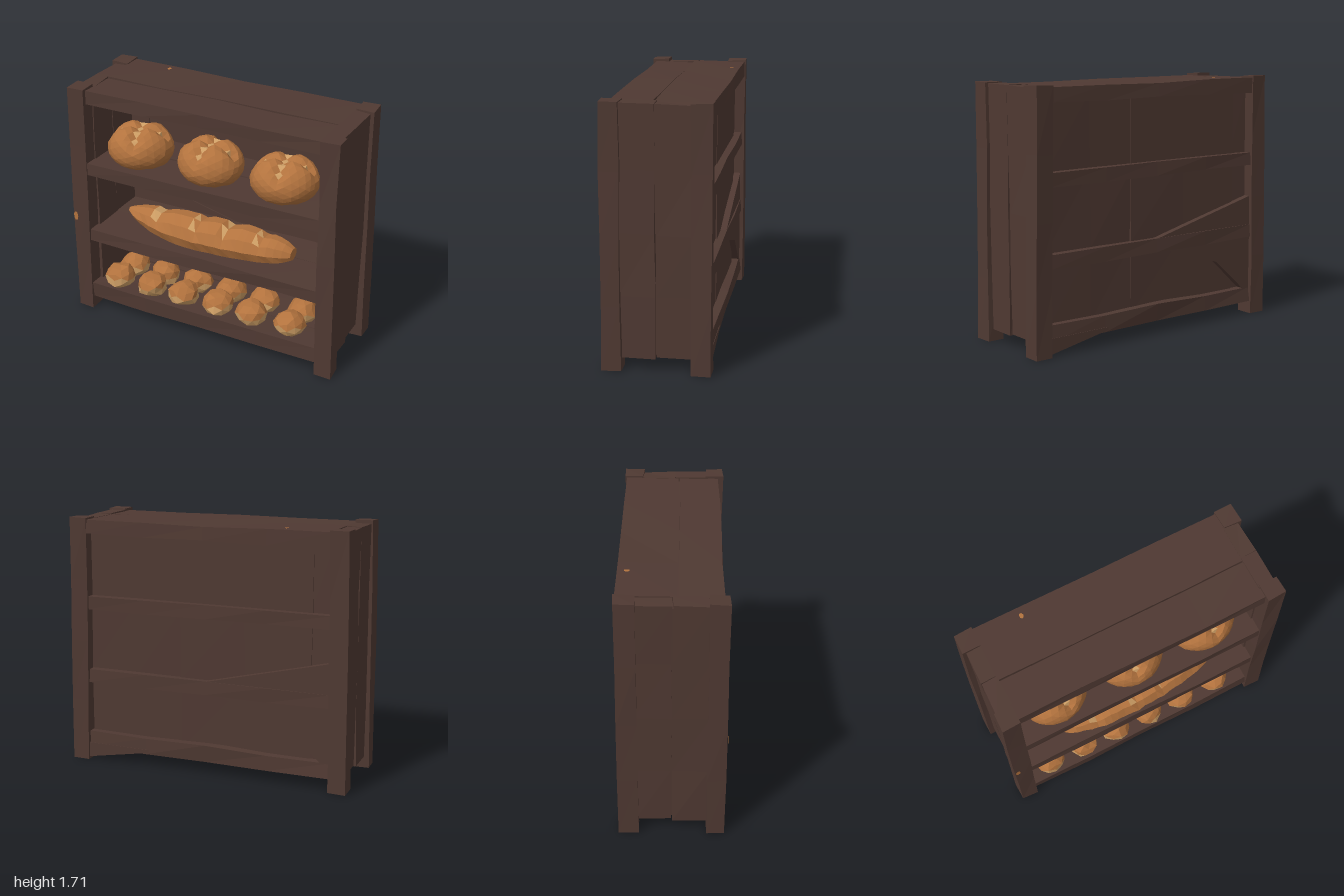
import * as THREE from 'three';

const mat = (name, color) => {
  const m = new THREE.MeshStandardMaterial({ color, flatShading: true });
  m.name = name;
  return m;
};

// repeatable noise from a position, in -1..1, so shared corners move together
function noise(x, y, z, k) {
  const s = Math.sin(Math.round(x * 500) * 12.99 + Math.round(y * 500) * 78.23 + Math.round(z * 500) * 37.72 + k * 9.1) * 43758.55;
  return (s - Math.floor(s)) * 2 - 1;
}

// move every vertex by a rule, then facet the result
function reshape(geo, rule) {
  const p = geo.attributes.position;
  const v = new THREE.Vector3();
  for (let i = 0; i < p.count; i++) {
    v.fromBufferAttribute(p, i);
    rule(v);
    p.setXYZ(i, v.x, v.y, v.z);
  }
  const out = geo.index ? geo.toNonIndexed() : geo;
  out.computeVertexNormals();
  return out;
}

// one material index per triangle, chosen from its original centre
function paintFaces(geo, centres, pick) {
  geo.clearGroups();
  centres.forEach((c, i) => geo.addGroup(i * 3, 3, pick(c)));
  return geo;
}

function faceCentres(geo) {
  const g = geo.index ? geo.toNonIndexed() : geo;
  const p = g.attributes.position;
  const list = [];
  for (let i = 0; i < p.count; i += 3) {
    const c = new THREE.Vector3();
    for (let j = 0; j < 3; j++) c.add(new THREE.Vector3().fromBufferAttribute(p, i + j));
    list.push(c.divideScalar(3));
  }
  return list;
}

export function createModel() {
  const root = new THREE.Group();
  root.name = 'breadShelf';
  const wood = mat('darkWood', 0x4f3932);
  const crust = mat('crust', 0xb3733e);
  crust.side = THREE.DoubleSide;
  const pale = mat('paleCrust', 0xd0a066);
  const add = (name, geo, material) => {
    const m = new THREE.Mesh(geo, material);
    m.name = name;
    root.add(m);
    return m;
  };

  // rough-hewn board between two corners, with an optional outward lean
  function board(name, x0, x1, y0, y1, z0, z1, rough = 0.006, lean = 0) {
    const w = x1 - x0, h = y1 - y0, d = z1 - z0;
    const n = (s) => Math.max(1, Math.round(s / 0.45));
    const geo = new THREE.BoxGeometry(w, h, d, n(w), n(h), n(d));
    geo.translate((x0 + x1) / 2, (y0 + y1) / 2, (z0 + z1) / 2);
    return add(name, reshape(geo, (v) => {
      const { x, y, z } = v;
      v.x += noise(x, y, z, 1) * rough + lean * (1 - y / 1.7);
      v.y += y < 0.001 ? 0 : noise(x, y, z, 2) * rough;
      v.z += noise(x, y, z, 3) * rough;
    }), wood);
  }

  // flat polygon of wood, given thickness from z towards the front
  function slab(name, points, z, depth) {
    const shape = new THREE.Shape(points.map((p) => new THREE.Vector2(...p)));
    const geo = new THREE.ExtrudeGeometry(shape, { depth, bevelEnabled: false });
    add(name, geo.translate(0, 0, z), wood);
  }

  // corner posts and side planks
  for (const s of [1, -1]) {
    const span = (a, b) => (s > 0 ? [a, b] : [-b, -a]);
    for (const [z0, z1] of [[0.22, 0.342], [-0.348, -0.222]]) {
      board('cornerPost', ...span(0.858, 0.978), 0, 1.71, z0, z1, 0.005, s * 0.018);
    }
    board('sidePlank', ...span(0.85, 0.96), 0.085, 1.695, 0.003, 0.235);
    board('sidePlank', ...span(0.853, 0.955), 0.085, 1.695, -0.238, -0.003);
    board('sideBatten', ...span(0.865, 0.935), 0.1, 1.66, -0.06, 0.06, 0.003);
  }

  // top, shelves and floor, each from long planks
  board('topPlank', -0.86, 0.86, 1.6, 1.697, -0.346, 0.028);
  board('topPlank', -0.86, 0.86, 1.603, 1.692, 0.036, 0.31);
  board('topBatten', -0.86, 0.86, 1.605, 1.67, -0.06, 0.1, 0.003);
  for (const [y0, y1] of [[1.08, 1.17], [0.56, 0.65]]) {
    board('shelfPlank', -0.87, 0.87, y0, y1, -0.33, 0.01);
    board('shelfPlank', -0.87, 0.87, y0, y1 - 0.004, 0, 0.33);
  }
  for (const [z0, z1] of [[-0.33, -0.12], [-0.125, 0.105], [0.1, 0.328]]) {
    board('floorPlank', -0.87, 0.87, 0.095, 0.2, z0, z1, 0.009);
  }

  // overlapping back panel planks
  for (const [x0, x1, z] of [[-0.87, -0.71, -0.275], [-0.73, 0.19, -0.28], [0.17, 0.87, -0.272]]) {
    board('backPlank', x0, x1, 0.15, 1.65, z, z + 0.03, 0.004);
  }

  // sloping brace beside the rear foot, and a broken patch board on the back
  slab('footBrace', [[0.42, 0.1], [0.9, 0.012], [0.9, 0.12], [0.42, 0.12]], -0.335, 0.09);
  slab('patchBoard', [[-0.87, 0.86], [-0.87, 0.14], [-0.55, 0.42], [-0.1, 0.56], [0, 0.65]], -0.322, 0.08);

  // crust scrap hanging below the middle shelf
  const scrap = new THREE.BufferGeometry();
  scrap.setAttribute('position', new THREE.Float32BufferAttribute([
    -0.43, 0.565, -0.05, -0.5, 0.35, 0.03, -0.28, 0.41, 0.01, -0.1, 0.5, -0.02, -0.1, 0.565, -0.05], 3));
  scrap.setIndex([0, 1, 2, 0, 2, 3, 0, 3, 4]);
  scrap.computeVertexNormals();
  add('crustScrap', scrap, crust);

  // stray crumbs on a post, the back panel and the top
  for (const [x, y, z, tilt, w, h] of [[-0.968, 0.745, 0.351, 0, 0.018, 0.036], [0.265, 1.05, -0.236, 0, 0.03, 0.016], [-0.55, 1.706, -0.28, -Math.PI / 2, 0.014, 0.02]]) {
    const crumb = add('crumb', new THREE.CircleGeometry(1, 7), crust);
    crumb.scale.set(w, h, 1);
    crumb.rotation.x = tilt;
    crumb.position.set(x, y, z);
  }

  // round loaves with a cross-cut top
  function roundLoaf(seed) {
    const ball = new THREE.IcosahedronGeometry(1, 4);
    const centres = faceCentres(ball);
    const geo = reshape(ball, (v) => {
      const { x, y, z } = v;
      const near = Math.min(Math.abs(x), Math.abs(z));
      const groove = y > 0.25 ? Math.max(0, 1 - near / 0.2) * Math.min(1, (y - 0.25) * 2.5) : 0;
      const r = 1 + noise(x, y, z, seed) * 0.012 - groove * 0.17;
      const hump = y > 0 ? 0.158 + 0.03 * Math.min(1, near * 2.5) : 0.158;
      v.set(x * 0.23 * r, Math.max(-0.105, y * hump * r), z * 0.205 * r);
    });
    return paintFaces(geo, centres, (c) => (c.y > 0.6 && Math.min(Math.abs(c.x), Math.abs(c.z)) < 0.06 ? 1 : 0));
  }
  [-0.555, -0.015, 0.525].forEach((x, i) => {
    const m = add('roundLoaf', roundLoaf(i + 4), [crust, pale]);
    m.position.set(x, 1.273, 0.115);
    m.rotation.y = [0.25, -0.1, 0.15][i];
  });

  // long loaf: tapered sections with stepped slashes along the top
  const slashes = [-0.37, -0.09, 0.14, 0.36];
  const stick = new THREE.CylinderGeometry(1, 1, 1.21, 9, 24);
  stick.rotateZ(Math.PI / 2);
  const stickCentres = faceCentres(stick);
  const stickGeo = reshape(stick, (v) => {
    const { x, y, z } = v;
    const t = x / 0.62;
    const r = Math.pow(Math.max(0, 1 - Math.pow(Math.abs(t), 2.4)), x < 0 ? 0.68 : 0.37);
    // each slash drops sharply, then the crust rises again to the next one
    const slash = y > 0.5 ? Math.max(0, ...slashes.map((s) => (x < s ? 0 : 1 - (x - s) / 0.1))) : 0;
    v.y = y * 0.12 * r - slash * 0.03 + (x < 0 ? t * t * 0.068 : t * t * -0.012);
    v.z = z * 0.15 * r - t * 0.04 + noise(x, y, z, 3) * 0.005;
  });
  paintFaces(stickGeo, stickCentres, (c) => (c.y > 0.6 && slashes.some((s) => c.x > s - 0.02 && c.x < s + 0.02) ? 1 : 0));
  add('longLoaf', stickGeo, [crust, pale]).position.set(0.012, 0.768, 0.185);

  // two rows of small faceted rolls
  for (const [row, z] of [[0, 0.225], [1, 0.04]]) {
    [-0.695, -0.435, -0.175, 0.095, 0.355, 0.645].forEach((x, i) => {
      const ball = new THREE.IcosahedronGeometry(1, 1);
      const centres = faceCentres(ball);
      const geo = reshape(ball, (v) => {
        const r = 1 + noise(v.x, v.y, v.z, i + row * 7) * 0.09;
        v.set(v.x * 0.11 * r, Math.max(-0.067, v.y * 0.092 * r), v.z * 0.107 * r);
      });
      paintFaces(geo, centres, (c) => (c.y < 0.15 || c.y > 0.9 ? 1 : 0));
      const m = add('smallRoll', geo, [crust, pale]);
      m.position.set(x + row * 0.01, 0.267, z);
      m.rotation.y = i * 1.3 + row;
    });
  }
  return root;
}
